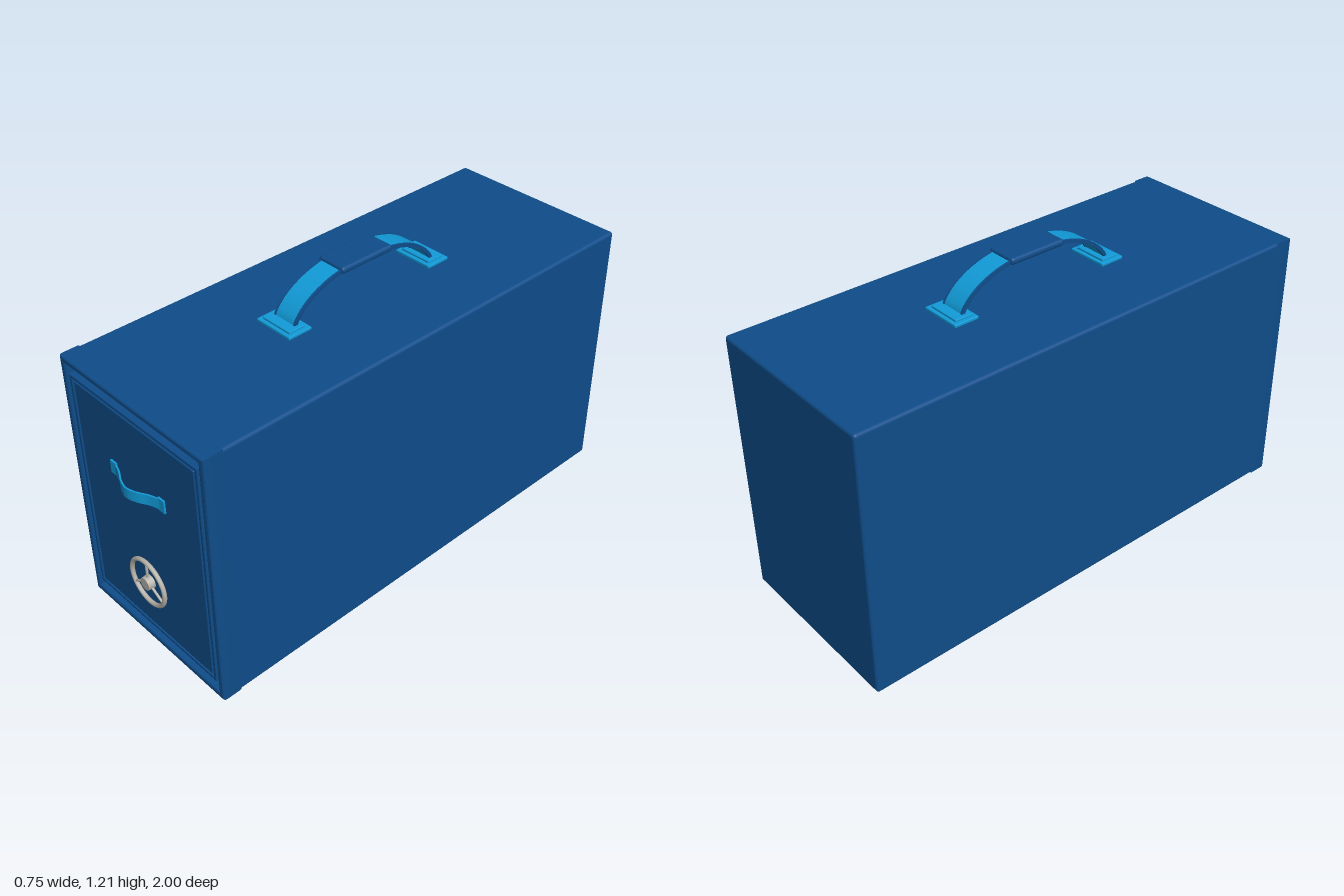
import * as THREE from 'three';
import { RoundedBoxGeometry } from 'three/addons/geometries/RoundedBoxGeometry.js';
import { toCreasedNormals } from 'three/addons/utils/BufferGeometryUtils.js';

const mat = (name, color) => new THREE.MeshStandardMaterial({ name, color });

export function createModel() {
  const blue = mat('case blue', 0x0f4d8a);
  const cyan = mat('handle blue', 0x119bd8);
  const grey = mat('metal grey', 0xb8b4ac);
  const model = new THREE.Group();

  const add = (name, geometry, material, x = 0, y = 0, z = 0, parent = model) => {
    const mesh = new THREE.Mesh(geometry, material);
    mesh.name = name;
    mesh.position.set(x, y, z);
    parent.add(mesh);
    return mesh;
  };
  const rect = (target, x, y0, y1) => {
    target.moveTo(-x, y0).lineTo(x, y0).lineTo(x, y1).lineTo(-x, y1).closePath();
    return target;
  };
  // Bevelled rectangular ring between z0 and z1; x, y0, y1 give each outline
  const ring = (name, outer, inner, z0, z1, b, material = blue) => {
    const shape = rect(new THREE.Shape(), ...outer);
    shape.holes.push(rect(new THREE.Path(), ...inner));
    const g = new THREE.ExtrudeGeometry(shape, {
      depth: z1 - z0 - 2 * b, bevelSize: b, bevelThickness: b, bevelOffset: -b, bevelSegments: 3,
    });
    return add(name, toCreasedNormals(g, 0.6), material, 0, 0, z0 + b);
  };
  // Band of constant thickness that follows a planar curve, extruded by its width
  const band = (points, thickness, width) => {
    const curve = new THREE.SplineCurve(points.map(p => new THREE.Vector2(...p)));
    const top = [], bottom = [], n = 40;
    for (let i = 0; i <= n; i++) {
      const p = curve.getPoint(i / n), t = curve.getTangent(i / n);
      const off = new THREE.Vector2(-t.y, t.x).multiplyScalar(thickness / 2);
      top.push(p.clone().add(off));
      bottom.unshift(p.clone().sub(off));
    }
    const g = new THREE.ExtrudeGeometry(new THREE.Shape([...top, ...bottom]), { depth: width, bevelEnabled: false });
    return toCreasedNormals(g.translate(0, 0, -width / 2), 0.6);
  };

  // Case body and raised front frame
  add('caseBody', new RoundedBoxGeometry(0.75, 1.055, 1.9, 3, 0.012), blue, 0, 0.5275, -0.05);
  ring('frontFrame', [0.375, 0, 1.055], [0.348, 0.03, 1.03], 0.87, 0.955, 0.012);

  // Door: slab, raised rim and centre panel with a groove between
  add('doorSlab', new THREE.BoxGeometry(0.664, 0.926, 0.05), blue, 0, 0.53, 0.915);
  ring('doorRim', [0.336, 0.063, 0.997], [0.322, 0.077, 0.983], 0.9, 0.95, 0.004);
  add('doorPanel', new RoundedBoxGeometry(0.632, 0.894, 0.03, 2, 0.005), blue, 0, 0.53, 0.934);

  // Seal strips in the gap round the door
  add('bottomSeal', new THREE.BoxGeometry(0.66, 0.008, 0.03), grey, 0, 0.058, 0.915);
  for (const s of [-1, 1])
    add('sideSeal', new THREE.BoxGeometry(0.004, 0.12, 0.03), grey, s * 0.345, 0.12, 0.91);

  // Bowed door pull with flat end tabs
  const pull = new THREE.Group();
  pull.name = 'doorPull';
  model.add(pull);
  const bow = [[-0.12, 0.953], [-0.08, 0.966], [-0.04, 0.987], [0, 0.997], [0.04, 0.987], [0.08, 0.966], [0.12, 0.953]];
  add('pullBand', band(bow, 0.006, 0.042).rotateX(Math.PI / 2), cyan, 0, 0.726, 0, pull);
  for (const s of [-1, 1])
    add('pullTab', new THREE.BoxGeometry(0.032, 0.052, 0.008), cyan, s * 0.129, 0.726, 0.952, pull);

  // Three-spoked hand wheel
  const wheel = new THREE.Group();
  wheel.name = 'handWheel';
  wheel.position.set(0, 0.298, 0.96);
  model.add(wheel);
  add('wheelRim', new THREE.TorusGeometry(0.092, 0.0085, 12, 48), grey, 0, 0, 0, wheel);
  add('wheelHub', new THREE.CylinderGeometry(0.025, 0.028, 0.03, 24).rotateX(Math.PI / 2), grey, 0, 0, 0, wheel);
  for (let i = 0; i < 3; i++) {
    const spoke = add('wheelSpoke', new THREE.CylinderGeometry(0.005, 0.005, 0.09, 10).translate(0, 0.047, 0), grey, 0, 0, 0, wheel);
    spoke.rotation.z = i * Math.PI * 2 / 3;
  }

  // Carrying handle on top: strap with dark edges, grip and stepped feet
  const carry = new THREE.Group();
  carry.name = 'carryHandle';
  carry.position.z = -0.02;
  model.add(carry);
  const half = [[0.327, 1.06], [0.315, 1.09], [0.27, 1.135], [0.2, 1.172], [0.11, 1.195]];
  const arc = [...half.map(([z, y]) => [-z, y]), [0, 1.198], ...half.reverse()];
  add('strap', band(arc, 0.01, 0.09).rotateY(-Math.PI / 2), cyan, 0, 0, 0, carry);
  for (const s of [-1, 1]) {
    add('strapEdge', band(arc, 0.014, 0.008).rotateY(-Math.PI / 2), blue, s * 0.048, 0, 0, carry);
    add('footPlate', new RoundedBoxGeometry(0.165, 0.012, 0.1, 2, 0.003), cyan, 0, 1.06, s * 0.332, carry);
    add('footStep', new RoundedBoxGeometry(0.135, 0.012, 0.072, 2, 0.003), cyan, 0, 1.068, s * 0.332, carry);
  }
  add('grip', new RoundedBoxGeometry(0.122, 0.026, 0.236, 4, 0.011), blue, 0, 1.198, 0, carry);

  return model;
}
